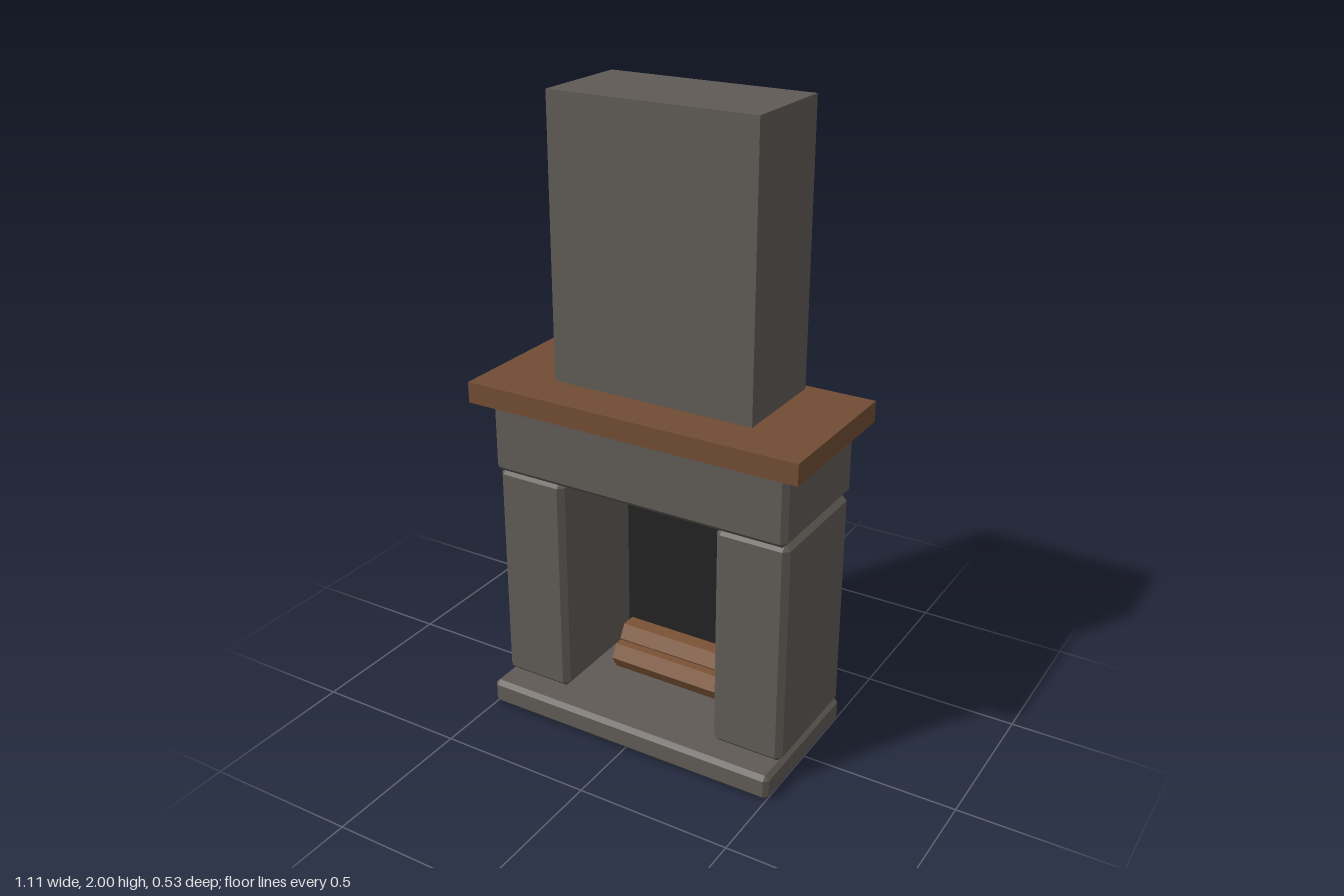
import * as THREE from 'three';
import { ConvexGeometry } from 'three/addons/geometries/ConvexGeometry.js';

const material = (name, color) => {
  const m = new THREE.MeshStandardMaterial({ color });
  m.name = name;
  return m;
};

// Block with all twelve edges cut at 45 degrees, given its limits on each axis
function chamferedBlock([x0, x1], [y0, y1], [z0, z1], c) {
  const half = [(x1 - x0) / 2, (y1 - y0) / 2, (z1 - z0) / 2];
  const points = [];
  for (const sx of [-1, 1]) for (const sy of [-1, 1]) for (const sz of [-1, 1])
    for (let axis = 0; axis < 3; axis++) {
      const h = half.map((v, i) => (i === axis ? v : v - c));
      points.push(new THREE.Vector3(sx * h[0], sy * h[1], sz * h[2]));
    }
  return new ConvexGeometry(points).translate((x0 + x1) / 2, (y0 + y1) / 2, (z0 + z1) / 2);
}

function plainBlock([x0, x1], [y0, y1], [z0, z1]) {
  return new THREE.BoxGeometry(x1 - x0, y1 - y0, z1 - z0)
    .translate((x0 + x1) / 2, (y0 + y1) / 2, (z0 + z1) / 2);
}

export function createModel() {
  const stone = material('stone', 0x5f5a55);
  const mantelWood = material('mantel wood', 0x704c33);
  const soot = material('soot', 0x222222);
  const logWood = material('log wood', 0x7a5235);

  const group = new THREE.Group();
  group.name = 'fireplace';
  const add = (name, geometry, mat) => {
    const mesh = new THREE.Mesh(geometry, mat);
    mesh.name = name;
    group.add(mesh);
    return mesh;
  };

  // Stone surround
  add('hearth', chamferedBlock([-0.505, 0.505], [0, 0.083], [-0.24, 0.262], 0.014), stone);
  add('leftPillar', chamferedBlock([0.268, 0.505], [0.083, 0.822], [-0.229, 0.18], 0.018), stone);
  add('rightPillar', chamferedBlock([-0.505, -0.268], [0.083, 0.822], [-0.229, 0.18], 0.018), stone);
  add('lintel', chamferedBlock([-0.505, 0.505], [0.822, 1.055], [-0.24, 0.198], 0.016), stone);

  // Mantel shelf and chimney
  add('mantel', plainBlock([-0.557, 0.557], [1.055, 1.122], [-0.264, 0.241]), mantelWood);
  add('chimney', plainBlock([-0.338, 0.338], [1.122, 2], [-0.242, 0.095]), stone);

  // Sooty back wall of the firebox
  add('firebackPanel', plainBlock([-0.268, 0.268], [0.083, 0.822], [-0.222, -0.195]), soot);

  // Stack of six-sided logs lying across the hearth
  const logGeometry = new THREE.CylinderGeometry(0.05, 0.05, 0.41, 6).toNonIndexed();
  logGeometry.rotateY(Math.PI / 2).rotateZ(Math.PI / 2);
  // Keep a flat side on top: vertices point along z
  logGeometry.computeBoundingBox();
  if (logGeometry.boundingBox.max.y > logGeometry.boundingBox.max.z) logGeometry.rotateX(Math.PI / 6);
  logGeometry.computeVertexNormals();
  [['frontLog', 0.13, -0.04], ['backLog', 0.13, -0.14], ['topLog', 0.179, -0.09]].forEach(([name, y, z]) => {
    add(name, logGeometry, logWood).position.set(0, y, z);
  });

  return group;
}
